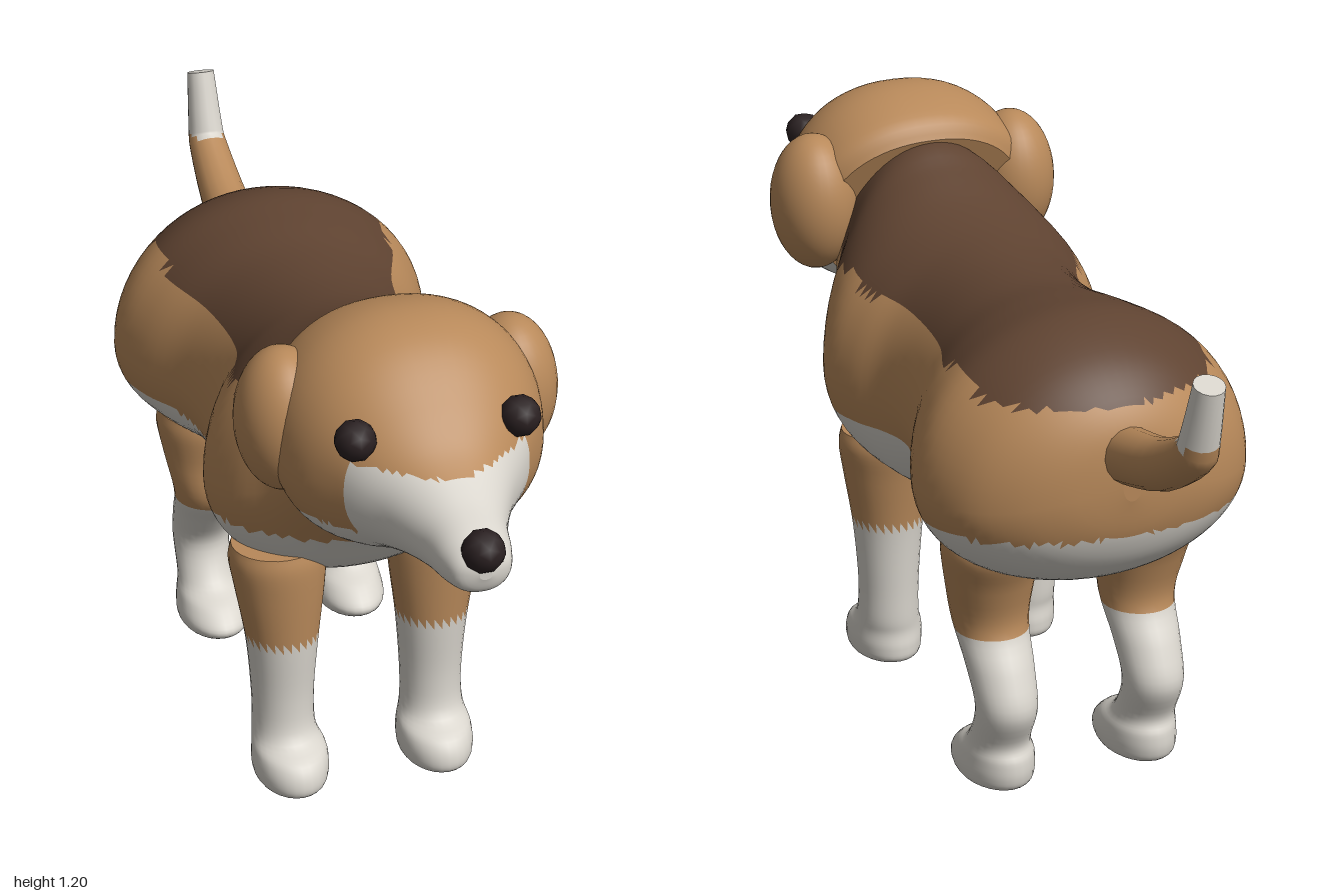
import * as THREE from 'three';

const mat = (name, color) => {
  const m = new THREE.MeshStandardMaterial({ color });
  m.name = name;
  return m;
};

// Catmull-Rom blend of section rows, column by column
function refine(rows, steps) {
  const out = [], n = rows.length - 1;
  const at = (i) => rows[Math.min(Math.max(i, 0), n)];
  for (let i = 0; i < n; i++) {
    for (let s = 0; s < steps; s++) {
      const t = s / steps;
      out.push(rows[i].map((b, k) => {
        const a = at(i - 1)[k], c = at(i + 1)[k], d = at(i + 2)[k];
        return b + 0.5 * t * (c - a + t * (2 * a - 5 * b + 4 * c - d + t * (3 * (b - c) + d - a)));
      }));
    }
  }
  out.push(rows[n]);
  return out;
}

// Closed skin over rings; pick(centroid) gives the material index of each triangle
function loft(name, rows, steps, sides, place, materials, pick) {
  const rings = refine(rows, steps), pos = [], tris = [];
  const addRing = (row) => {
    const start = pos.length / 3;
    for (let j = 0; j < sides; j++) pos.push(...place(row, (j / sides) * Math.PI * 2));
    return start;
  };
  rings.forEach(addRing);
  for (let i = 0; i < rings.length - 1; i++) {
    for (let j = 0; j < sides; j++) {
      const a = i * sides + j, b = i * sides + (j + 1) % sides;
      tris.push([a, b, a + sides], [b, b + sides, a + sides]);
    }
  }
  // End caps with their own vertices
  [rings[0], rings[rings.length - 1]].forEach((row, end) => {
    const s = addRing(row);
    for (let j = 1; j < sides - 1; j++) {
      tris.push(end ? [s, s + j, s + j + 1] : [s, s + j + 1, s + j]);
    }
  });
  const geo = new THREE.BufferGeometry();
  geo.setAttribute('position', new THREE.Float32BufferAttribute(pos, 3));
  const buckets = materials.map(() => []);
  for (const t of tris) {
    const c = [0, 1, 2].map((k) => (pos[t[0] * 3 + k] + pos[t[1] * 3 + k] + pos[t[2] * 3 + k]) / 3);
    buckets[pick(...c)].push(...t);
  }
  geo.setIndex(buckets.flat());
  let start = 0;
  buckets.forEach((b, i) => {
    if (b.length) geo.addGroup(start, b.length, i);
    start += b.length;
  });
  geo.computeVertexNormals();
  const mesh = new THREE.Mesh(geo, materials);
  mesh.name = name;
  return mesh;
}

// Upright section: [z, top, widest height, bottom, half width, backward tilt]
const upright = (power) => ([z, top, mid, bottom, hw, tilt = 0], a) => {
  const c = Math.cos(a), s = Math.sin(a);
  const sq = (v) => Math.sign(v) * Math.abs(v) ** (2 / power);
  const dy = sq(s) * (s > 0 ? top - mid : mid - bottom);
  return [sq(c) * hw, mid + dy, z - tilt * dy];
};

export function createModel() {
  const tan = mat('tan fur', 0xb8895a);
  const white = mat('white fur', 0xd8d4cc);
  const brown = mat('dark brown fur', 0x5f4331);
  const black = mat('near black', 0x2a2021);
  const model = new THREE.Group();
  model.name = 'dog';

  // Body from rump to neck, with dark saddle and white belly
  model.add(loft('body', [
    [-0.665, 0.77, 0.74, 0.71, 0.02],
    [-0.65, 0.85, 0.72, 0.63, 0.13],
    [-0.61, 0.915, 0.70, 0.555, 0.225],
    [-0.54, 0.97, 0.69, 0.50, 0.30],
    [-0.43, 1.01, 0.69, 0.463, 0.34],
    [-0.32, 1.005, 0.69, 0.475, 0.315],
    [-0.20, 0.99, 0.70, 0.49, 0.262],
    [-0.08, 0.99, 0.70, 0.48, 0.242],
    [0.02, 1.00, 0.70, 0.44, 0.25],
    [0.10, 1.015, 0.70, 0.43, 0.285],
    [0.18, 1.04, 0.70, 0.45, 0.305],
    [0.27, 1.08, 0.72, 0.51, 0.275],
    [0.35, 1.115, 0.76, 0.60, 0.22],
    [0.44, 1.08, 0.85, 0.70, 0.18],
    [0.50, 1.00, 0.88, 0.78, 0.12],
  ], 5, 64, upright(2), [tan, white, brown],
  (x, y) => (y < 0.63 ? 1 : y > 0.89 && Math.abs(x) < 0.24 ? 2 : 0)));

  // Head from the slanted nape to the muzzle tip, with white muzzle and chin
  const head = new THREE.Group();
  head.name = 'head';
  head.add(loft('skull and muzzle', [
    [0.41, 1.12, 0.95, 0.76, 0.22, 0.4],
    [0.45, 1.165, 0.95, 0.755, 0.255, 0.35],
    [0.54, 1.20, 0.95, 0.75, 0.26, 0.2],
    [0.62, 1.18, 0.95, 0.77, 0.235, 0.1],
    [0.70, 1.10, 0.95, 0.80, 0.18, 0],
    [0.77, 1.035, 0.93, 0.822, 0.125, 0],
    [0.85, 0.99, 0.91, 0.84, 0.085, 0],
    [0.92, 0.963, 0.905, 0.85, 0.068, 0],
    [0.96, 0.94, 0.905, 0.862, 0.05, 0],
    [0.975, 0.915, 0.905, 0.895, 0.012, 0],
  ], 6, 64, upright(2.2), [tan, white],
  (x, y, z) => (y < 0.855 || (y < 1.01 && z > 0.7) ? 1 : 0)));

  const ball = (name, r, x, y, z) => {
    const m = new THREE.Mesh(new THREE.IcosahedronGeometry(r, 1), black);
    m.name = name;
    m.position.set(x, y, z);
    head.add(m);
  };
  ball('nose', 0.041, 0, 0.945, 0.957);

  // Leg section: [y, z, half length, half width, x]
  const frontLeg = [
    [0.005, 0.26, 0.05, 0.04, 0.157],
    [0.02, 0.257, 0.10, 0.07, 0.157],
    [0.05, 0.257, 0.107, 0.078, 0.157],
    [0.085, 0.25, 0.095, 0.076, 0.157],
    [0.12, 0.222, 0.07, 0.066, 0.16],
    [0.20, 0.215, 0.065, 0.065, 0.16],
    [0.33, 0.215, 0.073, 0.075, 0.16],
    [0.45, 0.21, 0.085, 0.092, 0.163],
    [0.52, 0.205, 0.092, 0.10, 0.166],
    [0.555, 0.205, 0.085, 0.094, 0.166],
  ];
  const hindLeg = [
    [0.01, -0.36, 0.06, 0.04, 0.157],
    [0.025, -0.36, 0.105, 0.07, 0.157],
    [0.05, -0.357, 0.12, 0.077, 0.157],
    [0.085, -0.375, 0.10, 0.072, 0.157],
    [0.12, -0.40, 0.065, 0.062, 0.16],
    [0.20, -0.435, 0.065, 0.062, 0.16],
    [0.28, -0.40, 0.072, 0.068, 0.16],
    [0.36, -0.35, 0.08, 0.077, 0.16],
    [0.45, -0.36, 0.088, 0.09, 0.165],
    [0.52, -0.372, 0.105, 0.098, 0.168],
    [0.555, -0.372, 0.10, 0.092, 0.168],
  ];

  // Paired parts, mirrored left and right
  for (const [side, label] of [[1, 'left'], [-1, 'right']]) {
    const ear = new THREE.Mesh(new THREE.SphereGeometry(1, 32, 24), tan);
    ear.name = `${label} ear`;
    ear.scale.set(0.092, 0.146, 0.105);
    ear.position.set(side * 0.225, 0.982, 0.455);
    head.add(ear);
    ball(`${label} eye`, 0.04, side * 0.158, 1.055, 0.70);

    const standing = ([y, z, hz, hx, x], a) => [side * x + Math.sin(a) * hx, y, z + Math.cos(a) * hz];
    const sock = (x, y) => (y < 0.345 ? 1 : 0);
    model.add(loft(`${label} front leg`, frontLeg, 5, 28, standing, [tan, white], sock));
    model.add(loft(`${label} hind leg`, hindLeg, 5, 28, standing, [tan, white], sock));
  }
  model.add(head);

  // Tail section: [y, z, radius, rise angle]; white tip
  model.add(loft('tail', [
    [0.79, -0.60, 0.058, 0.15],
    [0.805, -0.68, 0.055, 0.2],
    [0.84, -0.80, 0.05, 0.4],
    [0.905, -0.915, 0.042, 0.8],
    [0.945, -0.938, 0.038, 1.2],
    [1.06, -0.97, 0.03, 1.25],
  ], 3, 16, ([y, z, r, t], a) => [
    Math.cos(a) * r,
    y - Math.sin(a) * r * Math.cos(t),
    z - Math.sin(a) * r * Math.sin(t),
  ], [tan, white], (x, y) => (y > 0.93 ? 1 : 0)));

  return model;
}
